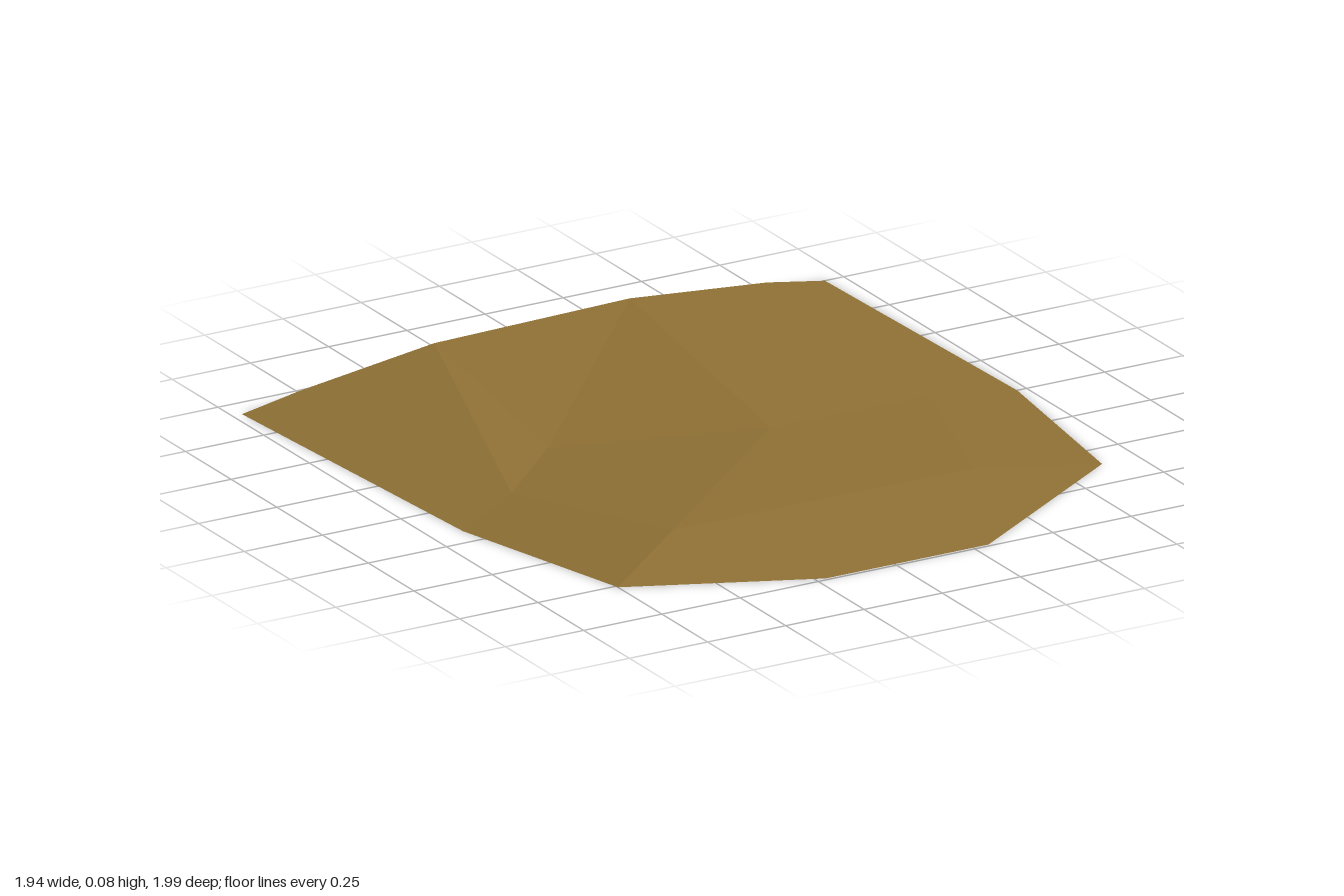
import * as THREE from 'three';

// Ground outline, walked round from the back right corner
const rim = [
  [-0.97, 0, -0.92], [0.94, 0, -1], [0.97, 0, 0], [0.885, 0, 0.61],
  [0.3, 0, 0.99], [-0.22, 0, 0.99], [-0.75, 0, 0.76], [-0.9, 0, 0.17],
];
// Upper edge of the steep back bank
const bank = [[-0.78, 0.03, -0.928], [-0.34, 0.08, -0.946], [0.3, 0.08, -0.973], [0.75, 0.034, -0.992]];
// Bumps and hollows on the upper surface
const peak = [-0.48, 0.065, 0.6];
const saddle = [0.17, 0.051, 0.02];
const hollow = [-0.4, 0.022, -0.22];
const sideDip = [-0.67, 0.026, 0.04];
const frontSlope = [0.52, 0.031, 0.53];
const leftSlope = [0.71, 0.026, -0.03];

// Flat-shaded mesh from triangles, each turned to face along the given direction
function facets(name, triangles, outward, material) {
  const points = [];
  for (const tri of triangles) {
    const [a, b, c] = tri.map((p) => new THREE.Vector3(...p));
    const normal = b.clone().sub(a).cross(c.clone().sub(a));
    points.push(...(normal.dot(outward) < 0 ? [a, c, b] : [a, b, c]));
  }
  const geometry = new THREE.BufferGeometry().setFromPoints(points);
  geometry.computeVertexNormals();
  const mesh = new THREE.Mesh(geometry, material);
  mesh.name = name;
  return mesh;
}

// Triangles fanning out from one centre along a chain of points
const fan = (centre, chain) => chain.slice(1).map((p, i) => [centre, chain[i], p]);

export function createModel() {
  const earth = new THREE.MeshStandardMaterial({ color: 0x8e7034 });
  earth.name = 'earthBrown';
  const group = new THREE.Group();
  group.name = 'earthMound';

  // Gently faceted upper surface
  const top = [
    ...fan(sideDip, [peak, rim[7], rim[0], bank[0], bank[1], hollow, peak]),
    ...fan(peak, [rim[7], rim[6], rim[5], rim[4], frontSlope, saddle, hollow]),
    ...fan(bank[2], [bank[1], hollow, saddle, leftSlope, bank[3]]),
    ...fan(leftSlope, [bank[3], rim[1], rim[2], rim[3], frontSlope, saddle]),
    [frontSlope, rim[3], rim[4]],
  ];
  group.add(facets('moundTop', top, new THREE.Vector3(0, 1, 0), earth));

  // Steep back bank and flat underside
  group.add(facets('backBank', fan(rim[0], [...bank, rim[1]]), new THREE.Vector3(0, 0, -1), earth));
  group.add(facets('underside', fan(rim[0], rim.slice(1)), new THREE.Vector3(0, -1, 0), earth));
  return group;
}
